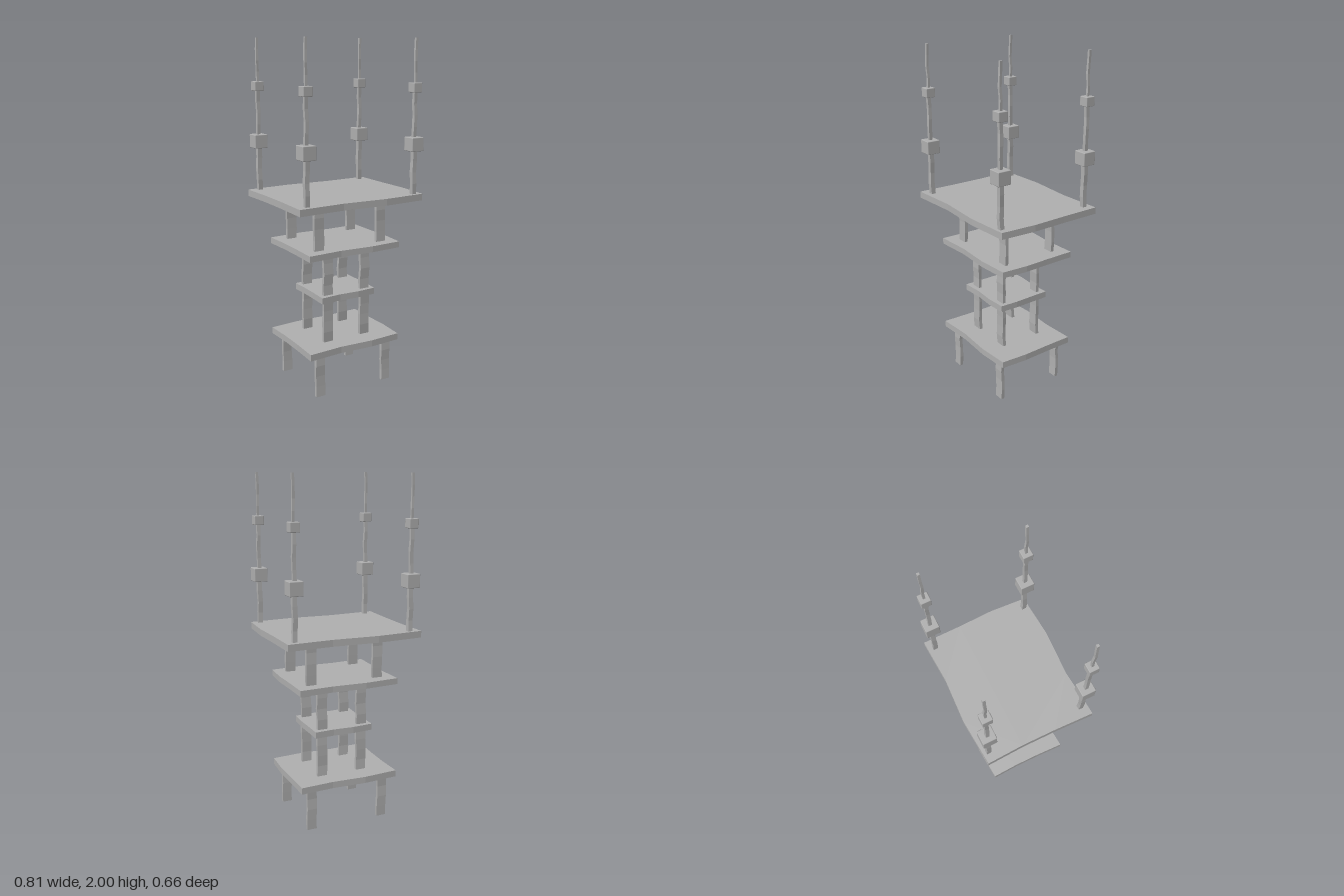
import * as THREE from 'three';
import { RoundedBoxGeometry } from 'three/addons/geometries/RoundedBoxGeometry.js';

const stone = new THREE.MeshStandardMaterial({ color: 0xb0b0b0 });
stone.name = 'plain grey';

// wavy plate outline as fractions of the half width and half depth, [x, z]
const OUTLINE = [
  [-1, -0.963], [-0.32, -1.02], [0.34, -0.975], [0.985, -1.015],
  [0.988, -0.31], [1.002, 0.31], [0.968, 0.955],
  [0.34, 1.003], [-0.32, 0.955], [-1.007, 1.01],
  [-0.985, 0.31], [-0.98, -0.31],
];

// floor plate with a hand-cut edge
function plate(name, halfX, halfZ, y0, y1) {
  const shape = new THREE.Shape(OUTLINE.map(([x, z]) => new THREE.Vector2(x * halfX, -z * halfZ)));
  const geo = new THREE.ExtrudeGeometry(shape, { depth: y1 - y0, bevelEnabled: false });
  geo.rotateX(-Math.PI / 2);
  geo.translate(0, y0, 0);
  const mesh = new THREE.Mesh(geo, stone);
  mesh.name = name;
  return mesh;
}

// upright post whose cross-sections wander slightly along its height
function post(name, w, d, y0, y1, x, z, wobble, segments = 4) {
  const geo = new THREE.BoxGeometry(w, y1 - y0, d, 1, segments, 1).toNonIndexed();
  const p = geo.attributes.position;
  for (let i = 0; i < p.count; i++) {
    const y = p.getY(i) + (y0 + y1) / 2;
    p.setXYZ(i,
      p.getX(i) + x + wobble * Math.sin(y * 29),
      y,
      p.getZ(i) + z + wobble * Math.sin(y * 37 + 1));
  }
  geo.computeVertexNormals();
  const mesh = new THREE.Mesh(geo, stone);
  mesh.name = name;
  return mesh;
}

// lightly chamfered block threaded on a mast
function block(name, size, height, x, y, z) {
  const mesh = new THREE.Mesh(new RoundedBoxGeometry(size, height, size, 1, 0.004), stone);
  mesh.position.set(x, y, z);
  mesh.name = name;
  return mesh;
}

export function createModel() {
  const model = new THREE.Group();
  model.name = 'tower';

  // four stacked floors
  model.add(
    plate('bottomFloor', 0.303, 0.245, 0.245, 0.283),
    plate('smallFloor', 0.18, 0.163, 0.53, 0.567),
    plate('middleFloor', 0.303, 0.242, 0.815, 0.85),
    plate('topFloor', 0.405, 0.325, 1.097, 1.135),
  );

  for (const sx of [-1, 1]) {
    for (const sz of [-1, 1]) {
      // flat legs between the floors
      model.add(
        post('footLeg', 0.057, 0.02, 0, 0.25, sx * 0.223, sz * 0.203, 0.002),
        post('lowerLeg', 0.06, 0.02, 0.28, 0.535, sx * 0.123, sz * 0.122, 0.002),
        post('middleLeg', 0.06, 0.02, 0.56, 0.82, sx * 0.123, sz * 0.122, 0.002),
        post('upperLeg', 0.06, 0.02, 0.845, 1.1, sx * 0.204, sz * 0.162, 0.002),
      );

      // corner mast in three thinning lengths with two blocks
      const x = sx * 0.344, z = sz * 0.284;
      const mast = new THREE.Group();
      mast.name = 'mast';
      mast.add(
        post('mastBase', 0.026, 0.026, 1.13, 1.39, x, z, 0.002),
        post('mastMiddle', 0.02, 0.02, 1.45, 1.71, x, z, 0.002),
        post('mastTip', 0.014, 0.014, 1.75, 2, x, z, 0.002),
        block('largeBlock', 0.079, 0.078, x, 1.42, z),
        block('smallBlock', 0.056, 0.053, x, 1.732, z),
      );
      model.add(mast);
    }
  }
  return model;
}
